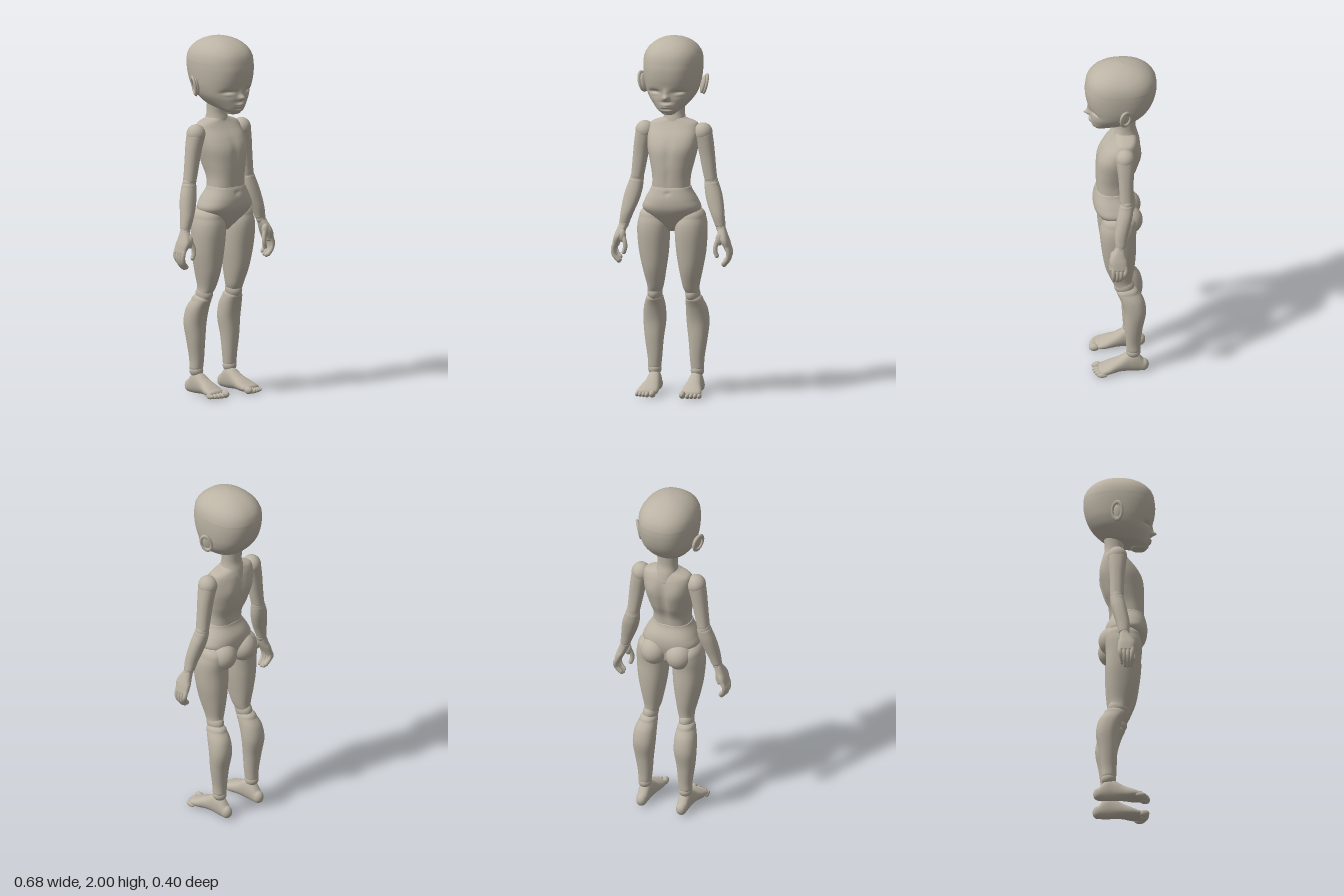
import * as THREE from 'three';

const resin = new THREE.MeshStandardMaterial({ color: 0xbbb3a4 });
resin.name = 'resin';

const spline = (a, b, c, d, t) =>
  0.5 * (2 * b + (c - a) * t + (2 * a - 5 * b + 4 * c - d) * t * t + (3 * b - a - 3 * c + d) * t * t * t);

// Closed skin through rows [height, xMin, xMax, zMin, zMax], with a rounded cap at both ends.
function loft(rows, { low = 0.01, high = 0.01, segs = 40, steps = 6, power = 2.2 } = {}) {
  const rings = [];
  const cap = 8, last = rows.length - 1;
  const capRing = (row, h, k) => {
    const s = Math.max(Math.cos((k / cap) * Math.PI / 2), 0.001);
    const cx = (row[1] + row[2]) / 2, cz = (row[3] + row[4]) / 2;
    return [row[0] + h * Math.sin((k / cap) * Math.PI / 2),
      cx + (row[1] - cx) * s, cx + (row[2] - cx) * s, cz + (row[3] - cz) * s, cz + (row[4] - cz) * s];
  };
  for (let k = cap; k > 0; k--) rings.push(capRing(rows[0], -low, k));
  for (let i = 0; i < last; i++) {
    const q = [rows[Math.max(i - 1, 0)], rows[i], rows[i + 1], rows[Math.min(i + 2, last)]];
    for (let s = 0; s < steps; s++) rings.push(rows[i].map((_, c) => spline(q[0][c], q[1][c], q[2][c], q[3][c], s / steps)));
  }
  for (let k = 0; k <= cap; k++) rings.push(capRing(rows[last], high, k));
  const pos = [], index = [];
  const round = v => Math.sign(v) * Math.abs(v) ** (2 / power);
  rings.forEach(([y, x0, x1, z0, z1], i) => {
    for (let j = 0; j < segs; j++) {
      const a = (j / segs) * Math.PI * 2;
      pos.push((x0 + x1) / 2 + ((x1 - x0) / 2) * round(Math.cos(a)), y, (z0 + z1) / 2 + ((z1 - z0) / 2) * round(Math.sin(a)));
      if (i === rings.length - 1) continue;
      const n = (j + 1) % segs, p = i * segs;
      index.push(p + j, p + segs + j, p + n, p + n, p + segs + j, p + segs + n);
    }
  });
  const g = new THREE.BufferGeometry();
  g.setAttribute('position', new THREE.Float32BufferAttribute(pos, 3));
  g.setIndex(index);
  g.computeVertexNormals();
  return g;
}

// Soft dents and bumps along z: [x, y, widthX, widthY, depth], on the front (side 1) or back (side -1).
function sculpt(g, side, marks) {
  const p = g.attributes.position;
  for (let i = 0; i < p.count; i++) {
    const x = p.getX(i), y = p.getY(i), z = p.getZ(i);
    const fade = THREE.MathUtils.smoothstep(z * side, 0.0, 0.07);
    let d = 0;
    for (const [mx, my, wx, wy, depth] of marks) {
      d += depth * Math.exp(-(((Math.abs(x) - mx) / wx) ** 2) - ((y - my) / wy) ** 2);
    }
    p.setZ(i, z + d * fade * side);
  }
  g.computeVertexNormals();
  return g;
}

function ball(x, y, z, rx, ry = rx, rz = rx) {
  return new THREE.SphereGeometry(1, 28, 20).scale(rx, ry, rz).translate(x, y, z);
}

function tube(points, r) {
  return new THREE.TubeGeometry(new THREE.CatmullRomCurve3(points.map(p => new THREE.Vector3(...p))), 16, r, 12);
}

function mirrored(g) {
  const m = g.clone().scale(-1, 1, 1), ix = m.index;
  for (let i = 0; i < ix.count; i += 3) {
    const t = ix.getX(i);
    ix.setX(i, ix.getX(i + 1));
    ix.setX(i + 1, t);
  }
  m.computeVertexNormals();
  return m;
}

export function createModel() {
  const doll = new THREE.Group();
  doll.name = 'jointedDoll';
  const add = (name, g) => {
    const m = new THREE.Mesh(g, resin);
    m.name = name;
    doll.add(m);
  };
  const pair = (name, g) => {
    add('left' + name, g);
    add('right' + name, mirrored(g));
  };
  // Rows that are symmetric about x = 0: [y, halfWidth, zBack, zFront]
  const even = rows => rows.map(([y, w, b, f]) => [y, -w, w, b, f]);

  // Head with eye hollows, nose, lips and chin
  const head = loft(even([[1.59, 0.04, 0.065, 0.15], [1.605, 0.062, 0.03, 0.163], [1.63, 0.09, -0.07, 0.17],
    [1.68, 0.128, -0.13, 0.174], [1.73, 0.147, -0.166, 0.182], [1.78, 0.156, -0.186, 0.194],
    [1.83, 0.16, -0.196, 0.199], [1.87, 0.16, -0.197, 0.195]]), { low: 0.014, high: 0.13, segs: 128, steps: 14, power: 2.3 });
  add('head', sculpt(head, 1, [
    [0.07, 1.705, 0.036, 0.02, -0.016], [0.07, 1.712, 0.026, 0.007, -0.008], [0.07, 1.697, 0.026, 0.01, 0.008],
    [0, 1.678, 0.014, 0.014, 0.03], [0, 1.703, 0.012, 0.022, 0.01], [0, 1.655, 0.03, 0.007, -0.006],
    [0, 1.638, 0.022, 0.006, 0.009], [0, 1.626, 0.018, 0.006, 0.008], [0, 1.614, 0.03, 0.006, -0.006]]));

  // Ears: tilted shell with a raised rim
  const place = g => g.rotateY(0.45).rotateZ(-0.22).translate(0.166, 1.735, -0.008);
  pair('Ear', place(ball(0, 0, 0, 0.014, 0.052, 0.03)));
  pair('EarRim', place(new THREE.TorusGeometry(0.03, 0.008, 10, 32).rotateY(Math.PI / 2).scale(1, 1.6, 1).translate(0.012, 0.006, 0)));

  add('neck', loft(even([[1.48, 0.07, -0.1, 0.04], [1.53, 0.062, -0.092, 0.035], [1.58, 0.056, -0.08, 0.025],
    [1.66, 0.06, -0.085, 0.03]])));

  // Chest with spine groove and shoulder blades
  const chest = loft(even([[1.13, 0.108, -0.04, 0.135], [1.22, 0.105, -0.05, 0.138], [1.3, 0.12, -0.085, 0.139],
    [1.38, 0.138, -0.106, 0.132], [1.44, 0.143, -0.108, 0.103], [1.49, 0.14, -0.1, 0.062],
    [1.52, 0.125, -0.088, 0.04], [1.54, 0.07, -0.078, 0.03]]), { segs: 72, steps: 9, power: 2.4 });
  sculpt(chest, 1, [[0, 1.36, 0.02, 0.08, -0.006], [0, 1.225, 0.012, 0.05, -0.004]]);
  add('chest', sculpt(chest, -1, [[0, 1.36, 0.022, 0.15, -0.014], [0.075, 1.42, 0.035, 0.055, 0.007]]));

  // Pelvis and hips
  add('pelvis', sculpt(loft(even([[0.925, 0.032, -0.04, 0.06], [0.95, 0.055, -0.06, 0.085], [1.0, 0.12, -0.07, 0.122],
    [1.05, 0.162, -0.08, 0.15], [1.1, 0.146, -0.075, 0.155], [1.15, 0.118, -0.05, 0.145], [1.17, 0.11, -0.044, 0.138]]),
  { segs: 64, steps: 8, power: 2.35 }), 1, [[0, 1.14, 0.011, 0.011, -0.008]]));
  pair('Buttock', ball(0.075, 0.99, -0.035, 0.077, 0.082, 0.08));

  // Legs
  pair('Thigh', loft([[0.57, 0.07, 0.146, -0.055, 0.04], [0.61, 0.056, 0.146, -0.055, 0.062], [0.7, 0.04, 0.166, -0.068, 0.095],
    [0.8, 0.025, 0.186, -0.075, 0.112], [0.9, 0.018, 0.195, -0.075, 0.123], [0.96, 0.02, 0.194, -0.08, 0.122],
    [1.0, 0.035, 0.185, -0.08, 0.112]], { low: 0.03, high: 0.06 }));
  pair('Knee', ball(0.107, 0.565, -0.01, 0.041, 0.05, 0.056));
  pair('Calf', loft([[0.15, 0.085, 0.158, -0.098, -0.022], [0.2, 0.08, 0.16, -0.1, -0.018], [0.3, 0.072, 0.175, -0.112, -0.012],
    [0.4, 0.06, 0.185, -0.13, -0.008], [0.48, 0.06, 0.178, -0.118, 0.012], [0.53, 0.065, 0.16, -0.088, 0.034]],
  { low: 0.03, high: 0.035 }));
  pair('Ankle', ball(0.121, 0.13, -0.06, 0.037, 0.036, 0.04));

  // Feet run along z: [z, xMin, xMax, -top, -bottom]
  pair('Foot', loft([[-0.115, 0.09, 0.148, -0.075, -0.004], [-0.07, 0.084, 0.153, -0.125, -0.002], [-0.03, 0.08, 0.155, -0.122, -0.004],
    [0.02, 0.073, 0.163, -0.09, -0.006], [0.07, 0.066, 0.178, -0.066, -0.002], [0.11, 0.068, 0.183, -0.047, -0.003]],
  { low: 0.03, high: 0.025 }).rotateX(Math.PI / 2));
  for (let i = 0; i < 5; i++) {
    const r = i ? 0.0135 - i * 0.0006 : 0.018;
    pair('Toe' + (i + 1), ball(i ? 0.094 + i * 0.0205 : 0.085, r + 0.003, 0.14 - i * i * 0.0015, r, r + 0.003, 0.029));
  }

  // Arms
  pair('Shoulder', ball(0.165, 1.465, -0.012, 0.053, 0.056, 0.054));
  pair('UpperArm', loft([[1.21, 0.173, 0.243, -0.053, 0.022], [1.26, 0.162, 0.238, -0.053, 0.024], [1.34, 0.146, 0.231, -0.056, 0.028],
    [1.4, 0.133, 0.225, -0.06, 0.034], [1.45, 0.117, 0.218, -0.063, 0.039]], { low: 0.03, high: 0.045 }));
  pair('Elbow', ball(0.211, 1.195, -0.016, 0.038, 0.04, 0.037));
  pair('Forearm', loft([[0.96, 0.242, 0.3, -0.008, 0.052], [1.01, 0.222, 0.294, -0.018, 0.055], [1.07, 0.197, 0.286, -0.034, 0.047],
    [1.13, 0.18, 0.273, -0.048, 0.036], [1.18, 0.174, 0.255, -0.053, 0.025]], { low: 0.02, high: 0.03 }));
  pair('Wrist', ball(0.275, 0.945, 0.025, 0.027, 0.028, 0.027));

  // Hands with curled fingers
  pair('Palm', loft([[0.83, 0.302, 0.336, -0.012, 0.075], [0.87, 0.281, 0.328, -0.012, 0.085], [0.9, 0.267, 0.318, -0.005, 0.078],
    [0.94, 0.255, 0.303, 0.0, 0.053]], { low: 0.015, high: 0.015, power: 2.6 }));
  for (let i = 0; i < 4; i++) {
    const z = 0.066 - i * 0.022, lift = [0.006, 0, 0.004, 0.018][i];
    const tip = [0.299, 0.741 + lift, z * 0.7 + 0.014];
    pair('Finger' + (i + 1), tube([[0.314, 0.85, z], [0.327, 0.81, z], [0.322, 0.77 + lift, z * 0.85 + 0.007], tip], 0.0125));
    pair('Fingertip' + (i + 1), ball(...tip, 0.0125));
  }
  pair('ThumbBase', ball(0.276, 0.885, 0.062, 0.021, 0.036, 0.02));
  pair('Thumb', tube([[0.275, 0.9, 0.062], [0.258, 0.85, 0.073], [0.256, 0.82, 0.075], [0.264, 0.795, 0.073]], 0.0125));
  pair('ThumbTip', ball(0.264, 0.795, 0.073, 0.0125));

  return doll;
}
